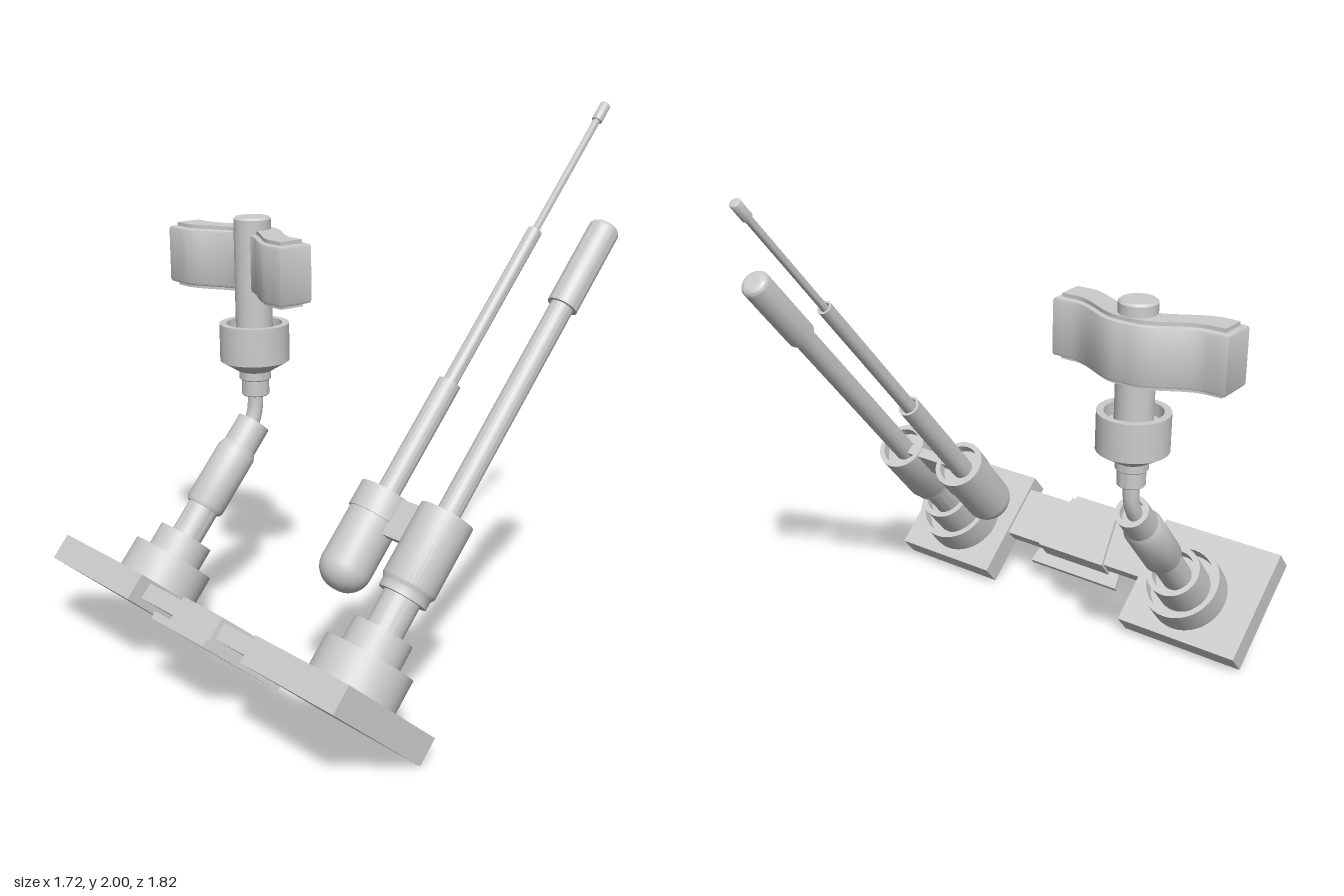
import * as THREE from 'three';
import { toCreasedNormals } from 'three/addons/utils/BufferGeometryUtils.js';

const material = new THREE.MeshStandardMaterial({ color: 0xcccccc });
const TILT = -0.705;   // lean of the base and its poles
const AXIS_Z = 0.6;    // pole axis on the tilted base

function add(parent, name, geometry, x = 0, y = 0, z = 0) {
  const mesh = new THREE.Mesh(toCreasedNormals(geometry, 0.6), material);
  mesh.name = name;
  mesh.position.set(x, y, z);
  parent.add(mesh);
  return mesh;
}

// Turned part from [radius, height] pairs, bottom to top
function turned(parent, name, x, z, profile, sides = 40) {
  const points = profile.map(([r, y]) => new THREE.Vector2(r, y));
  return add(parent, name, new THREE.LatheGeometry(points, sides), x, 0, z);
}

// Solid rod with small chamfers
const rod = (r, y0, y1, c = 0.004) =>
  [[0, y0], [r - c, y0], [r, y0 + c], [r, y1 - c], [r - c, y1], [0, y1]];

// Cylinder with a recessed top
const cup = (r, y0, y1, wall, depth) =>
  [[0, y0], [r, y0], [r, y1], [r - wall, y1], [r - wall, y1 - depth], [0, y1 - depth]];

// Rod with rounded ends of radius c at the top or bottom
function rounded(r, y0, y1, c, bottom) {
  const arc = [];
  for (let i = 0; i <= 10; i++) {
    const a = (i / 10) * Math.PI / 2;
    arc.push([r - c + c * Math.cos(a), c * Math.sin(a)]);
  }
  if (bottom) return [[0, y0], ...arc.reverse().map(([x, y]) => [x, y0 + c - y]), [r, y1], [0, y1]];
  return [[0, y0], [r, y0], ...arc.map(([x, y]) => [x, y1 - c + y]), [0, y1]];
}

function box(parent, name, x0, x1, y0, y1, z0, z1) {
  add(parent, name, new THREE.BoxGeometry(x1 - x0, y1 - y0, z1 - z0),
    (x0 + x1) / 2, (y0 + y1) / 2, (z0 + z1) / 2);
}

// Flat trapezoid plate: half widths at its rear and front edges
function trapezoid(parent, name, x, rearHalf, frontHalf, y0, y1, z0, z1) {
  const shape = new THREE.Shape([
    new THREE.Vector2(-rearHalf, z0), new THREE.Vector2(rearHalf, z0),
    new THREE.Vector2(frontHalf, z1), new THREE.Vector2(-frontHalf, z1)]);
  const g = new THREE.ExtrudeGeometry(shape, { depth: y1 - y0, bevelEnabled: false });
  g.rotateX(Math.PI / 2);
  add(parent, name, g, x, y1, 0);
}

// Wavy handle slab: arched plan extruded upward
function handleSlab(parent, name, half, thick, y0, y1, bevel) {
  const front = [], back = [];
  const h = half - bevel, t = thick - bevel;
  for (let i = 0; i <= 36; i++) {
    const x = -h + (2 * h * i) / 36;
    const z = 0.105 + 0.095 * THREE.MathUtils.smoothstep(Math.abs(x), 0.03, 0.27);
    front.push(new THREE.Vector2(x, z + t));
    back.unshift(new THREE.Vector2(x, z - t));
  }
  const g = new THREE.ExtrudeGeometry(new THREE.Shape([...front, ...back]), {
    depth: y1 - y0 - 2 * bevel, bevelEnabled: bevel > 0,
    bevelSize: bevel, bevelThickness: bevel, bevelSegments: 2 });
  g.rotateX(Math.PI / 2);
  add(parent, name, g, -0.515, y1 - bevel, 0);
}

export function createModel() {
  const model = new THREE.Group();
  const base = new THREE.Group();
  base.name = 'tiltedBase';
  base.rotation.x = TILT;
  model.add(base);

  // Foot plates, bridge and centre clasp
  box(base, 'rightFootPlate', -0.805, -0.28, -0.345, -0.245, 0.4, 0.872);
  box(base, 'leftFootPlate', 0.39, 0.855, -0.345, -0.245, 0.4, 0.872);
  box(base, 'bridge', -0.29, 0.4, -0.317, -0.257, 0.6, 0.82);
  trapezoid(base, 'claspTop', 0.055, 0.16, 0.115, -0.335, -0.243, 0.59, 0.838);
  trapezoid(base, 'claspBottom', 0.055, 0.215, 0.153, -0.361, -0.335, 0.54, 0.884);

  // Stepped socket under each pole
  for (const x of [-0.515, 0.622]) {
    turned(base, 'outerSocket', x, AXIS_Z, cup(0.161, -0.25, -0.122, 0.022, 0.06));
    turned(base, 'innerSocket', x, AXIS_Z, cup(0.108, -0.2, -0.03, 0.022, 0.05));
  }

  // Short pole leading to the handle
  turned(base, 'shortPole', -0.515, AXIS_Z, rod(0.061, -0.1, 0.13));
  turned(base, 'shortPoleSleeve', -0.515, AXIS_Z,
    [[0, 0.1], [0.07, 0.1], [0.077, 0.115], [0.077, 0.35], [0.066, 0.375], [0, 0.375]]);
  turned(base, 'shortPoleCollar', -0.515, AXIS_Z, cup(0.066, 0.36, 0.485, 0.02, 0.03));

  // Tall pole with grip
  turned(base, 'tallPoleFoot', 0.622, AXIS_Z, rod(0.067, -0.1, 0.13));
  turned(base, 'tallPoleSleeve', 0.622, AXIS_Z,
    [[0, 0.095], [0.088, 0.095], [0.088, 0.125], [0.098, 0.14], ...cup(0.098, 0.14, 0.405, 0.02, 0.04).slice(2)]);
  turned(base, 'tallPole', 0.622, AXIS_Z, rod(0.042, 0.3, 1.26));
  turned(base, 'tallPoleGrip', 0.622, AXIS_Z, rounded(0.055, 1.24, 1.58, 0.025, false));

  // Telescopic rod held beside it
  box(base, 'clampArm', 0.36, 0.58, 0.262, 0.4, 0.58, 0.62);
  turned(base, 'rodSleeve', 0.325, AXIS_Z, cup(0.1, 0.31, 0.405, 0.02, 0.04));
  turned(base, 'rodEndCap', 0.325, AXIS_Z, rounded(0.094, 0.028, 0.32, 0.085, true));
  turned(base, 'rodLower', 0.325, AXIS_Z, cup(0.042, 0.3, 0.861, 0.01, 0.02));
  turned(base, 'rodMiddle', 0.325, AXIS_Z, cup(0.027, 0.8, 1.517, 0.008, 0.015), 24);
  turned(base, 'rodUpper', 0.325, AXIS_Z, rod(0.014, 1.48, 2.03, 0.001), 12);
  turned(base, 'rodTip', 0.325, AXIS_Z, rounded(0.02, 2.015, 2.092, 0.008, false), 20);

  // Bent neck turning the short pole upright
  const neck = new THREE.CatmullRomCurve3([
    new THREE.Vector3(0, 0.7, 0.193), new THREE.Vector3(0, 0.75, 0.158),
    new THREE.Vector3(0, 0.81, 0.136), new THREE.Vector3(0, 0.9, 0.13)]);
  add(model, 'neck', new THREE.TubeGeometry(neck, 24, 0.03, 20), -0.515);

  // Upright cup and stem
  turned(model, 'neckCollar', -0.515, 0.13, rod(0.053, 0.872, 0.95));
  turned(model, 'cupBase', -0.515, 0.13, rod(0.061, 0.935, 0.99));
  turned(model, 'cup', -0.515, 0.13,
    [[0, 0.97], [0.065, 0.97], ...cup(0.134, 1.012, 1.158, 0.027, 0.05).slice(1)]);
  turned(model, 'stem', -0.515, 0.13, rod(0.071, 1.05, 1.568, 0.008));

  // Wavy handle with a raised core
  handleSlab(model, 'handle', 0.35, 0.072, 1.287, 1.508, 0.012);
  handleSlab(model, 'handleCore', 0.326, 0.05, 1.275, 1.522, 0);

  return model;
}
